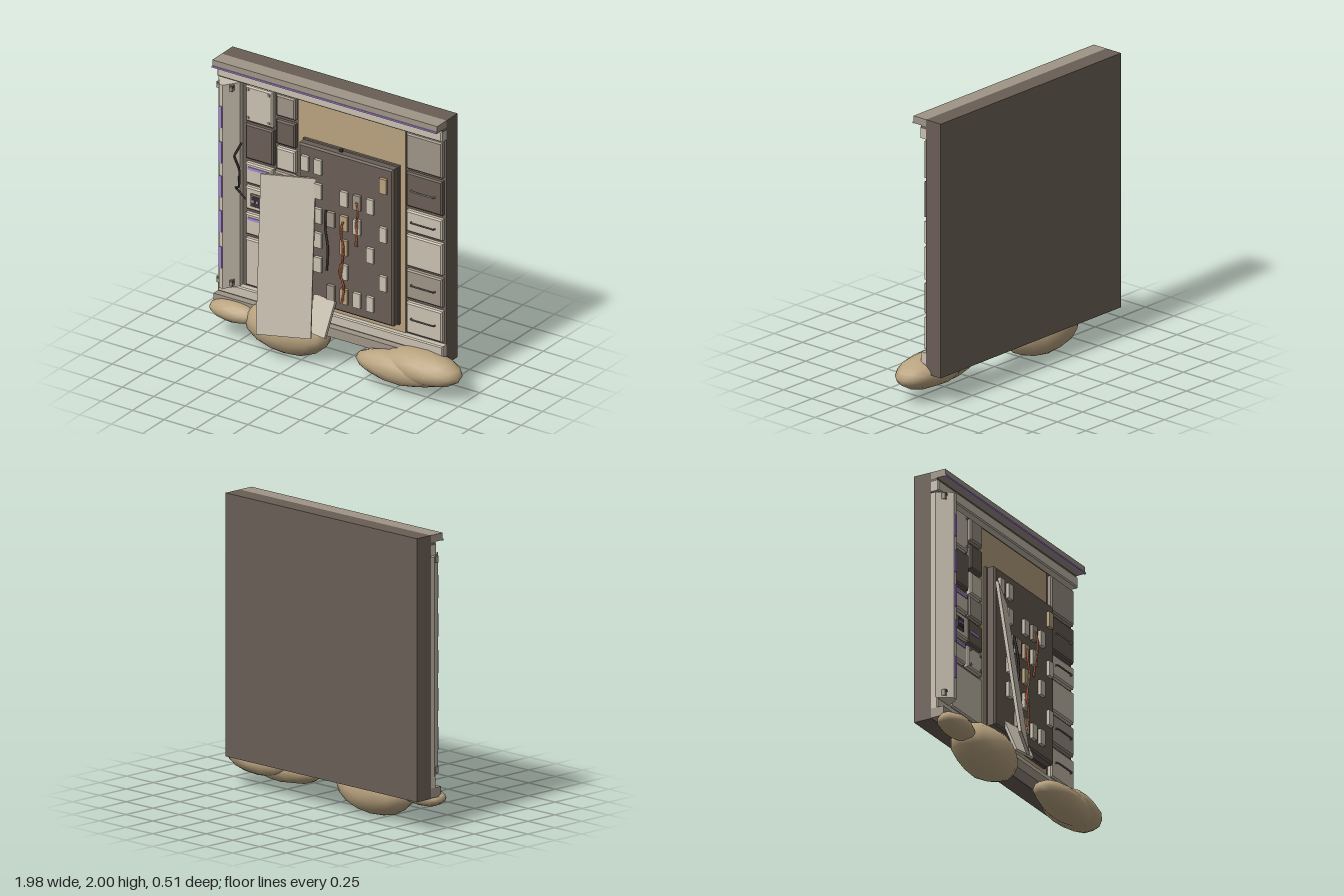
import * as THREE from 'three';
import { mergeVertices } from 'three/addons/utils/BufferGeometryUtils.js';

const mat = (name, color) => Object.assign(new THREE.MeshStandardMaterial({ color }), { name });

export function createModel() {
  const M = {
    light: mat('pale panel', 0xc8c0b0), mid: mat('grey panel', 0x9f9487),
    dark: mat('dark wall', 0x695e55), tan: mat('tan backing', 0xb9a27f),
    sand: mat('sand rock', 0xbba581), purple: mat('purple light', 0xa585d2),
    orange: mat('orange wire', 0xc0623c), black: mat('black cable', 0x39322d),
  };
  const root = new THREE.Group();
  root.name = 'wallPanel';
  const add = (name, geo, material, parent = root) => {
    const m = new THREE.Mesh(geo, material);
    m.name = name;
    parent.add(m);
    return m;
  };
  // Box given by its limits
  const box = (name, x0, x1, y0, y1, z0, z1, material) => {
    const m = add(name, new THREE.BoxGeometry(x1 - x0, y1 - y0, z1 - z0), material);
    m.position.set((x0 + x1) / 2, (y0 + y1) / 2, (z0 + z1) / 2);
    return m;
  };
  // Plate with a chamfered front edge
  const plate = (name, x0, x1, y0, y1, z0, z1, material, b = 0.008) => {
    const s = new THREE.Shape();
    s.moveTo(x0 + b, y0 + b);
    s.lineTo(x1 - b, y0 + b);
    s.lineTo(x1 - b, y1 - b);
    s.lineTo(x0 + b, y1 - b);
    const g = new THREE.ExtrudeGeometry(s, {
      depth: z1 - z0 - b, bevelEnabled: true, bevelThickness: b, bevelSize: b, bevelSegments: 1,
    });
    g.translate(0, 0, z0);
    return add(name, g, material);
  };
  const tube = (name, pts, r, material, tension = 0.5) => {
    const curve = new THREE.CatmullRomCurve3(pts.map(p => new THREE.Vector3(...p)), false, 'catmullrom', tension);
    return add(name, new THREE.TubeGeometry(curve, 28, r, 6), material);
  };

  // Wall slab, backing, cornice and sill
  const L = -0.97, R = 0.82;
  box('wallSlab', L, R, 0.21, 2, -0.255, -0.125, M.dark);
  box('tanBacking', -0.35, 0.5, 0.355, 1.85, -0.126, -0.118, M.tan);
  box('corniceCap', L, R, 1.95, 2, -0.126, -0.015, M.mid);
  box('corniceLight', L, R, 1.947, 1.958, -0.02, -0.008, M.purple);
  box('corniceNeck', L, R, 1.93, 1.95, -0.126, -0.08, M.dark);
  plate('corniceBeam', L, R, 1.86, 1.937, -0.126, -0.068, M.light);
  plate('sillBeam', L, R, 0.28, 0.355, -0.126, -0.075, M.light);
  box('sillBase', L, R, 0.213, 0.28, -0.126, -0.03, M.mid);

  // Left column with sloped sides, light strips and end clamps
  const col = new THREE.Shape();
  [[-0.97, 0.126], [-0.97, 0.09], [-0.9, -0.01], [-0.87, -0.01], [-0.8, 0.09], [-0.8, 0.126]]
    .forEach(([x, y], i) => (i ? col.lineTo(x, y) : col.moveTo(x, y)));
  const colGeo = new THREE.ExtrudeGeometry(col, { depth: 1.495, bevelEnabled: false });
  colGeo.rotateX(-Math.PI / 2);
  colGeo.translate(0, 0.355, 0);
  add('column', colGeo, M.light);
  for (const y of [1.615, 1.355, 1.105, 0.85, 0.585])
    box('columnLight', -0.897, -0.873, y - 0.078, y + 0.078, 0.008, 0.017, M.purple);
  for (const x of [-0.935, -0.835])
    for (const y of [0.39, 1.82]) {
      box('clamp', x - 0.012, x + 0.012, y - 0.022, y + 0.022, -0.08, -0.03, M.mid);
      box('clampPin', x - 0.006, x + 0.02, y + 0.005, y + 0.02, -0.04, -0.025, M.dark);
    }

  // Wall panels: x limits, y limits, material
  const panels = [
    [-0.76, -0.545, 1.58, 1.84, 'light'], [-0.76, -0.54, 1.305, 1.56, 'dark'],
    [-0.76, -0.545, 1.125, 1.275, 'light'], [-0.76, -0.545, 0.935, 1.1, 'light'],
    [-0.76, -0.575, 0.75, 0.905, 'light'], [-0.76, -0.365, 0.375, 0.72, 'light'],
    [-0.515, -0.365, 1.685, 1.84, 'mid'], [-0.515, -0.365, 1.48, 1.655, 'dark'],
    [-0.515, -0.365, 1.295, 1.455, 'light'], [-0.53, -0.365, 1.125, 1.275, 'mid'],
    [-0.55, -0.365, 0.925, 1.1, 'dark'], [-0.55, -0.365, 0.75, 0.905, 'light'],
    [0.52, 0.805, 1.58, 1.84, 'mid'], [0.52, 0.805, 1.305, 1.555, 'dark', 1],
    [0.52, 0.805, 1.12, 1.275, 'light', 1], [0.52, 0.805, 0.865, 1.095, 'light'],
    [0.52, 0.805, 0.63, 0.84, 'mid', 1], [0.52, 0.805, 0.375, 0.6, 'light', 1],
  ];
  for (const [x0, x1, y0, y1, c, handle] of panels) {
    plate('wallPanel', x0, x1, y0, y1, -0.126, -0.09, M[c], 0.01);
    if (handle) {
      const y = (y0 + y1) / 2 + 0.002;
      tube('drawerHandle', [[0.565, y, -0.09], [0.575, y, -0.072], [0.745, y, -0.072], [0.755, y, -0.09]], 0.006,
        c === 'dark' ? M.mid : M.dark, 0.1);
    }
  }
  const screws = (x0, x1, y0, y1) => {
    for (const x of [x0, x1])
      for (const y of [y0, y1]) {
        const s = add('screw', new THREE.CylinderGeometry(0.01, 0.01, 0.01, 8), M.mid);
        s.rotation.x = Math.PI / 2;
        s.position.set(x, y, -0.088);
      }
  };
  screws(-0.735, -0.57, 1.61, 1.815);
  screws(-0.52, -0.395, 0.775, 0.88);

  // Panel lights and the recessed socket
  for (const [x0, x1, y] of [[-0.735, -0.57, 1.24], [-0.735, -0.59, 0.87], [-0.53, -0.42, 1.01]])
    box('panelLight', x0, x1, y - 0.01, y + 0.01, -0.091, -0.084, M.purple);
  plate('socketFrame', -0.713, -0.62, 0.97, 1.06, -0.092, -0.075, M.dark);
  box('socketFace', -0.695, -0.638, 0.985, 1.045, -0.076, -0.072, M.black);
  for (const x of [-0.683, -0.65])
    box('socketLight', x - 0.009, x + 0.009, 1.006, 1.024, -0.073, -0.068, M.purple);

  // Circuit board
  plate('circuitBoardBase', -0.305, 0.46, 0.41, 1.575, -0.12, -0.095, M.dark, 0.005);
  plate('circuitBoard', -0.298, 0.453, 0.417, 1.568, -0.1, -0.035, M.dark, 0.012);
  box('boardLatch', 0.003, 0.025, 1.57, 1.587, -0.09, -0.07, M.black);

  // Chips: one string per row, L pale, M grey, T tan
  const rows = ['LL....T', '.L.LML.', '.LMTL.L', '.L.T.L.', '.L.L..L', '..MTLL.'];
  const chipMat = { L: M.light, M: M.mid, T: M.tan };
  rows.forEach((row, j) => [...row].forEach((c, i) => {
    if (c === '.') return;
    const x = -0.236 + i * 0.1035, y = 1.44 - j * 0.179;
    box('chip', x - 0.028, x + 0.028, y - 0.054, y + 0.054, -0.036, -0.012, chipMat[c]);
  }));

  // Loose wires
  const wires = [
    [[0.185, 1.27, -0.01], [0.19, 1.19, 0.0], [0.19, 1.12, -0.005], [0.165, 0.94, -0.02]],
    [[0.075, 1.1, -0.01], [0.06, 1.02, 0.0], [0.085, 0.9, 0.0], [0.05, 0.72, -0.015]],
    [[0.075, 0.8, -0.01], [0.05, 0.73, 0.0], [0.085, 0.62, -0.005], [0.06, 0.5, -0.015]],
  ];
  wires.forEach(w => {
    tube('orangeWire', w, 0.007, M.orange);
    tube('tanWire', w.map(([x, y, z], i) => [x + (i % 2 ? 0.014 : -0.01), y, z]), 0.005, M.tan);
  });
  tube('blackWire', [[-0.075, 1.14, -0.025], [-0.065, 1.02, -0.005], [-0.045, 0.88, -0.005], [-0.065, 0.7, -0.025]],
    0.009, M.black);
  tube('brokenCable', [[-0.775, 1.42, -0.075], [-0.82, 1.32, -0.05], [-0.785, 1.23, -0.06], [-0.78, 1.1, -0.05],
    [-0.81, 1.09, -0.055], [-0.745, 1.015, -0.075]], 0.007, M.black, 0.05);

  // Fallen panels leaning on the wall: centre of front face, width and height axes
  const lean = (name, c, u, v, w, h, t) => {
    const U = new THREE.Vector3(...u).normalize();
    const N = U.clone().cross(new THREE.Vector3(...v)).normalize();
    const V = N.clone().cross(U);
    const g = new THREE.BoxGeometry(w, h, t);
    g.translate(0, 0, -t / 2);
    const m = add(name, g, M.light);
    m.quaternion.setFromRotationMatrix(new THREE.Matrix4().makeBasis(U, V, N));
    m.position.set(...c);
  };
  lean('fallenPanel', [-0.3, 0.79, 0.113], [0.34, 0, -0.14], [-0.06, 1.1, -0.14], 0.37, 1.115, 0.022);
  lean('fallenPlate', [-0.09, 0.375, 0.025], [0.99, 0, 0.14], [0.02, 0.23, -0.1], 0.18, 0.255, 0.02);

  // Rocks: lumpy ellipsoids, centre then radii
  const rocks = [
    [-0.395, 0.175, -0.06, 0.335, 0.178, 0.175], [-0.805, 0.195, -0.03, 0.19, 0.075, 0.095],
    [0.52, 0.155, 0.0, 0.34, 0.108, 0.125], [0.68, 0.19, -0.04, 0.315, 0.12, 0.155],
  ];
  rocks.forEach(([x, y, z, rx, ry, rz], k) => {
    const ball = new THREE.IcosahedronGeometry(1, 2);
    ball.deleteAttribute('uv');
    ball.deleteAttribute('normal');
    const g = mergeVertices(ball, 1e-3);
    const p = g.attributes.position;
    for (let i = 0; i < p.count; i++) {
      const a = p.getX(i), b = p.getY(i), c = p.getZ(i);
      const f = 0.98 + 0.04 * Math.sin(4 * a + k * 2) * Math.cos(3 * b + 5 * c + k);
      p.setXYZ(i, a * f * rx, b * f * ry, c * f * rz);
    }
    g.computeVertexNormals();
    add('rock', g, M.sand).position.set(x, y, z);
  });
  return root;
}
